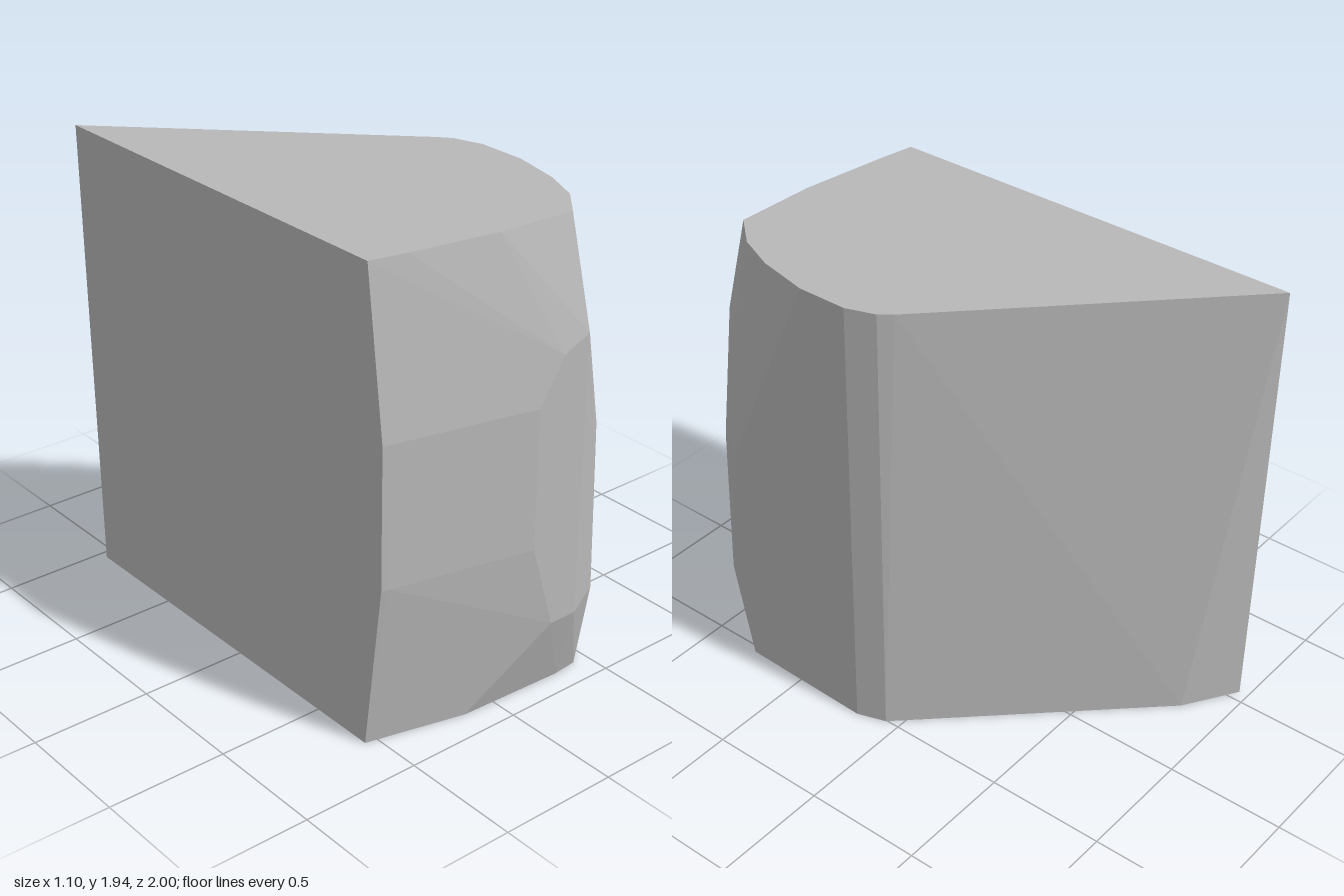
import * as THREE from 'three';
import { ConvexGeometry } from 'three/addons/geometries/ConvexGeometry.js';

// Flat caps as [x, z] outlines
const TOP_Y = 1.94;
const topOutline = [
  [-0.55, -1], [-0.36, -0.81], [0.45, 0], [0.49, 0.05], [0.53, 0.17], [0.53, 0.38],
  [0.48, 0.6], [0.41, 0.76], [0.3, 0.885], [-0.03, 0.87], [-0.4, 0.81], [-0.55, 0.78],
];
const bottomOutline = [
  [-0.55, -0.96], [-0.33, -0.82], [0.505, 0.06], [0.545, 0.18], [0.53, 0.77],
  [0.43, 0.89], [0.32, 0.9], [-0.14, 0.88], [-0.55, 0.78],
];

// Chipped corners of the bulging front face as [x, y, z]
const frontCorners = [
  [-0.55, 1.28, 0.865], [0.07, 1.28, 1], [0.18, 1.46, 1], [0.3, 1.51, 1],
  [-0.55, 0.7, 0.865], [-0.52, 0.7, 0.873], [0.07, 0.7, 1], [0.18, 0.34, 1], [0.3, 0.34, 1],
  [0.41, 0.4, 0.975], [0.41, 1.05, 0.955], [0.41, 1.41, 0.9],
  [0.51, 0.4, 0.88], [0.48, 1.05, 0.89], [0.53, 1.05, 0.78], [-0.35, 0.22, 0.855],
];

export function createModel() {
  const stone = new THREE.MeshStandardMaterial({ color: 0xb8b8b8 });
  stone.name = 'greyStone';
  stone.flatShading = true;

  const cap = (outline, y) => outline.map(([x, z]) => new THREE.Vector3(x, y, z));
  const points = [
    ...cap(topOutline, TOP_Y),
    ...cap(bottomOutline, 0),
    ...frontCorners.map((p) => new THREE.Vector3(...p)),
  ];

  // The fragment is a faceted convex block
  const shard = new THREE.Mesh(new ConvexGeometry(points), stone);
  shard.name = 'stoneFragment';

  const group = new THREE.Group();
  group.name = 'stoneShard';
  group.add(shard);
  return group;
}
